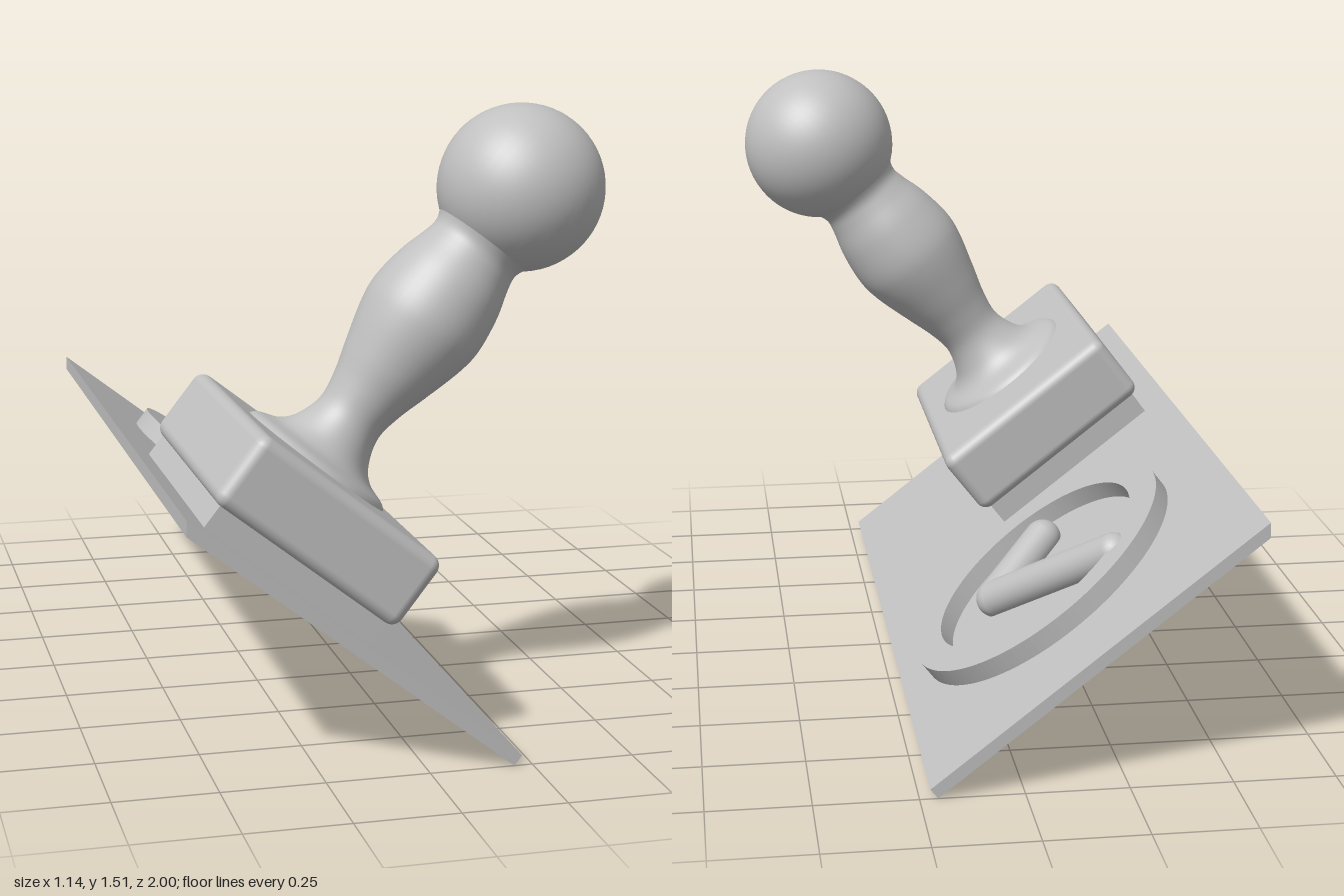
import * as THREE from 'three';
import { RoundedBoxGeometry } from 'three/addons/geometries/RoundedBoxGeometry.js';

const grey = new THREE.MeshStandardMaterial({ color: 0xc0c0c0 });
grey.name = 'plain grey';

export function createModel() {
  const model = new THREE.Group();
  model.name = 'stampOnPaper';

  // Everything is built on a flat sheet (top at y = 0), then tilted as one
  const tilted = new THREE.Group();
  tilted.name = 'tiltedAssembly';
  tilted.position.y = 0.205;
  tilted.rotation.z = -THREE.MathUtils.degToRad(38);
  model.add(tilted);

  const add = (name, geometry, x = 0, y = 0, z = 0, parent = tilted) => {
    const mesh = new THREE.Mesh(geometry, grey);
    mesh.name = name;
    mesh.position.set(x, y, z);
    parent.add(mesh);
    return mesh;
  };

  // Sheet, with its upper end cut at a slant
  const section = new THREE.Shape([
    [-0.722, 0], [-0.7, -0.03], [0.285, -0.03], [0.285, 0],
  ].map(([x, y]) => new THREE.Vector2(x, y)));
  add('sheet', new THREE.ExtrudeGeometry(section, { depth: 2, bevelEnabled: false }), 0, 0, -1);

  // Printed emblem: raised ring
  const ring = new THREE.Shape().absarc(0, 0, 0.385, 0, Math.PI * 2, false);
  ring.holes.push(new THREE.Path().absarc(0, 0, 0.303, 0, Math.PI * 2, true));
  const ringGeometry = new THREE.ExtrudeGeometry(ring, {
    depth: 0.055, bevelEnabled: false, curveSegments: 64,
  });
  ringGeometry.rotateX(-Math.PI / 2);
  add('emblemRing', ringGeometry, -0.185, -0.005, -0.388);

  // Printed emblem: check mark from two rounded bars
  const check = new THREE.Group();
  check.name = 'checkMark';
  tilted.add(check);
  const corner = new THREE.Vector3(-0.044, 0.025, -0.345);
  const bar = (name, end) => {
    const along = end.clone().sub(corner);
    const middle = end.clone().add(corner).multiplyScalar(0.5);
    const mesh = add(name, new THREE.CapsuleGeometry(0.048, along.length(), 8, 24),
      middle.x, middle.y, middle.z, check);
    mesh.quaternion.setFromUnitVectors(new THREE.Vector3(0, 1, 0), along.normalize());
  };
  bar('longBar', new THREE.Vector3(-0.375, 0.025, -0.6));
  bar('shortBar', new THREE.Vector3(-0.23, 0.025, -0.21));

  // Stamp: rubber pad and rounded block
  const stamp = new THREE.Group();
  stamp.name = 'stamp';
  stamp.position.set(-0.397, 0, 0.52);
  tilted.add(stamp);
  add('rubberPad', new THREE.BoxGeometry(0.5, 0.1, 0.75), 0, 0.045, 0, stamp);
  add('block', new RoundedBoxGeometry(0.55, 0.195, 0.795, 4, 0.03), 0, 0.1575, 0, stamp);

  // Turned handle: flared collar, swelling grip and narrow neck
  const profile = new THREE.SplineCurve([
    [0.208, 0.25], [0.19, 0.268], [0.14, 0.288], [0.108, 0.325], [0.088, 0.39],
    [0.098, 0.46], [0.122, 0.54], [0.15, 0.64], [0.158, 0.71], [0.146, 0.8],
    [0.126, 0.87], [0.12, 0.91], [0.135, 0.945], [0.15, 0.96],
  ].map(([r, y]) => new THREE.Vector2(r, y)));
  add('handle', new THREE.LatheGeometry(profile.getPoints(70), 48), 0, 0, 0, stamp);
  add('knob', new THREE.SphereGeometry(0.207, 48, 32), 0, 1.095, 0, stamp);

  return model;
}
